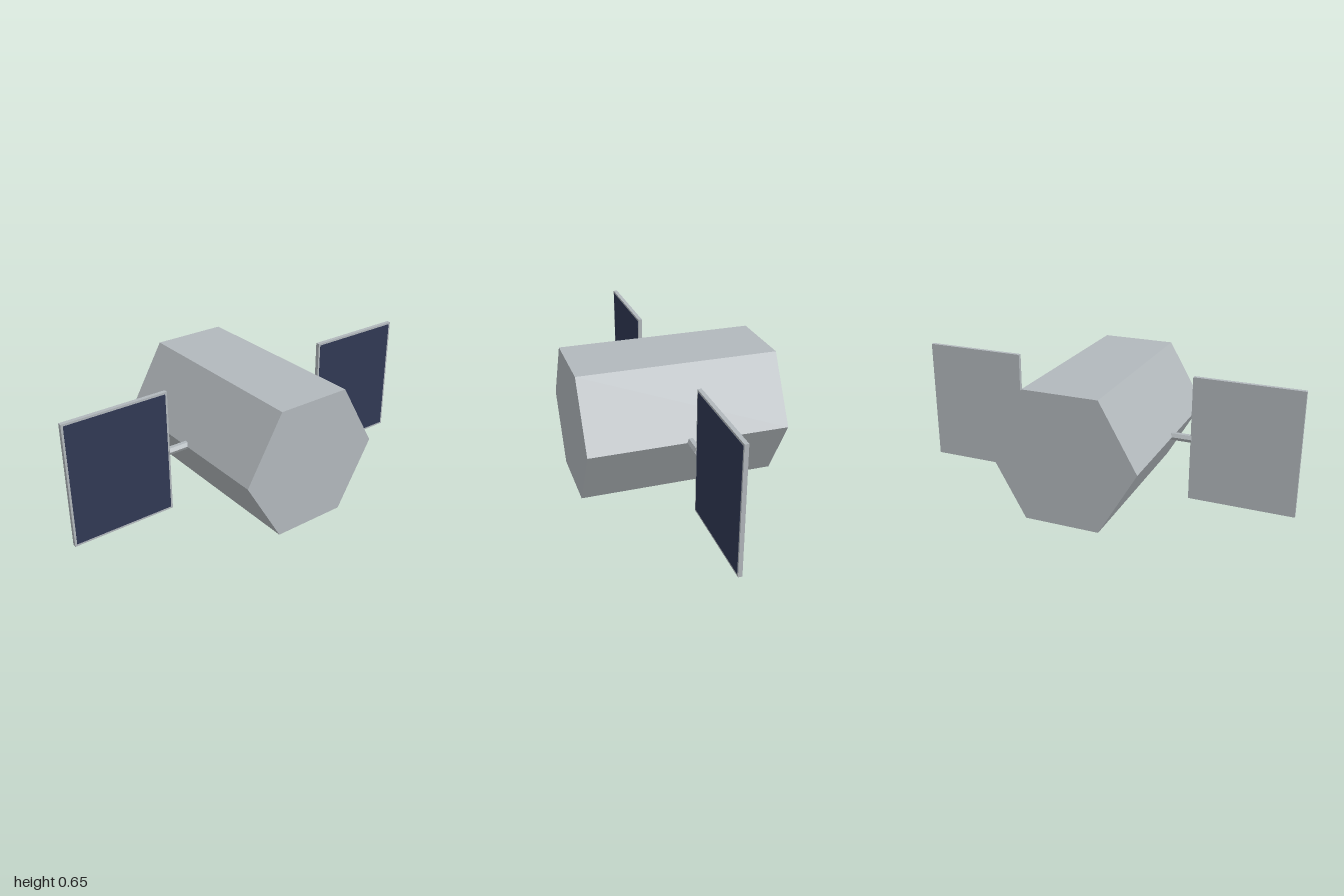
import * as THREE from 'three';

export function createModel() {
  const group = new THREE.Group();
  const grey = new THREE.MeshStandardMaterial({ color: 0xb2b8bc, flatShading: true });
  grey.name = 'hull grey';
  const blue = new THREE.MeshStandardMaterial({ color: 0x303854, flatShading: true });
  blue.name = 'solar cell blue';
  const midY = 0.326;

  const add = (name, geometry, material, x, y, z) => {
    const mesh = new THREE.Mesh(geometry, material);
    mesh.name = name;
    mesh.position.set(x, y, z);
    group.add(mesh);
  };

  // Hexagonal hull lying along z, flat side up
  const hull = new THREE.CylinderGeometry(0.376, 0.376, 1, 6).rotateY(Math.PI / 6).rotateX(Math.PI / 2);
  add('hull', hull, grey, 0, midY, 0);

  // Solar wings: strut, framed panel and front cell face
  for (const [label, side] of [['left', 1], ['right', -1]]) {
    const strut = new THREE.CylinderGeometry(0.02, 0.02, 0.11, 6).rotateZ(Math.PI / 2);
    add(label + 'Strut', strut, grey, side * 0.417, midY, 0);
    add(label + 'Panel', new THREE.BoxGeometry(0.532, 0.637, 0.02), grey, side * 0.734, midY, 0);
    add(label + 'SolarCells', new THREE.BoxGeometry(0.511, 0.616, 0.002), blue, side * 0.734, midY, 0.0102);
  }
  return group;
}
